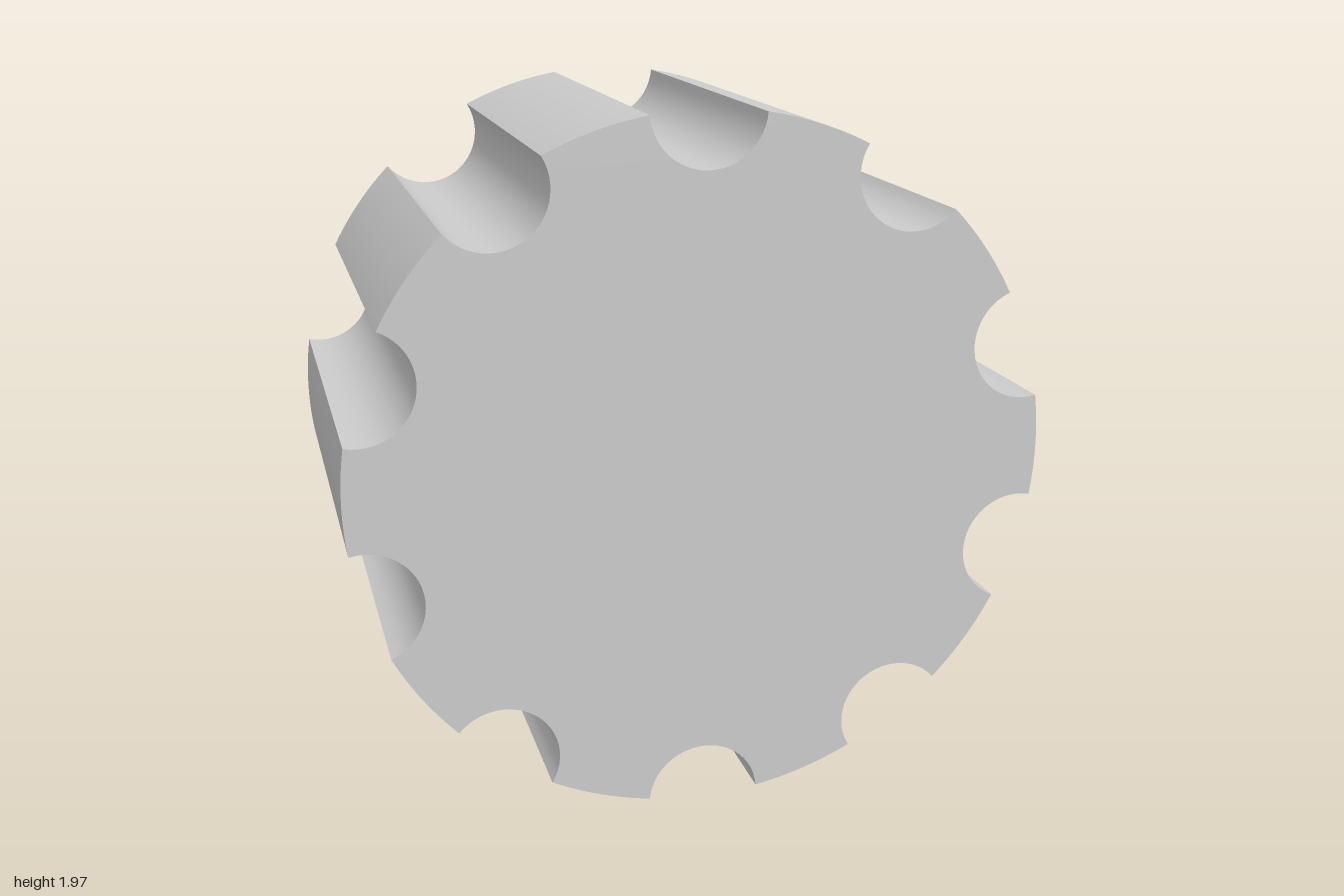
import * as THREE from 'three';
import { toCreasedNormals } from 'three/addons/utils/BufferGeometryUtils.js';

const GROOVES = 10;
const RADIUS = 1;
const GROOVE_RADIUS = 0.162;
const DEPTH = 1.2;
const STEPS = 24;

// Disc outline with round grooves centred on the rim
function flutedOutline() {
  const points = [];
  const pitch = (2 * Math.PI) / GROOVES;
  const half = 2 * Math.asin(GROOVE_RADIUS / (2 * RADIUS)); // half angle of a groove mouth
  for (let i = 0; i < GROOVES; i++) {
    const a = Math.PI / 2 + i * pitch;
    const cx = RADIUS * Math.cos(a), cy = RADIUS * Math.sin(a);
    // groove, swept clockwise through its inner side
    const start = a + 1.5 * Math.PI - half / 2;
    const sweep = Math.PI - half;
    for (let k = 0; k <= STEPS; k++) {
      const t = start - (sweep * k) / STEPS;
      points.push(new THREE.Vector2(cx + GROOVE_RADIUS * Math.cos(t), cy + GROOVE_RADIUS * Math.sin(t)));
    }
    // outer face of the tooth that follows
    for (let k = 1; k < 12; k++) {
      const t = a + half + ((pitch - 2 * half) * k) / 12;
      points.push(new THREE.Vector2(RADIUS * Math.cos(t), RADIUS * Math.sin(t)));
    }
  }
  return new THREE.Shape(points);
}

export function createModel() {
  const group = new THREE.Group();
  group.name = 'flutedCylinder';

  const extruded = new THREE.ExtrudeGeometry(flutedOutline(), { depth: DEPTH, bevelEnabled: false });
  extruded.translate(0, 0, -DEPTH / 2);
  extruded.computeBoundingBox();
  extruded.translate(0, -extruded.boundingBox.min.y, 0); // stand on the ground

  const body = new THREE.Mesh(
    toCreasedNormals(extruded, Math.PI / 6),
    new THREE.MeshStandardMaterial({ color: 0xcccccc })
  );
  body.name = 'flutedBody';
  group.add(body);
  return group;
}
